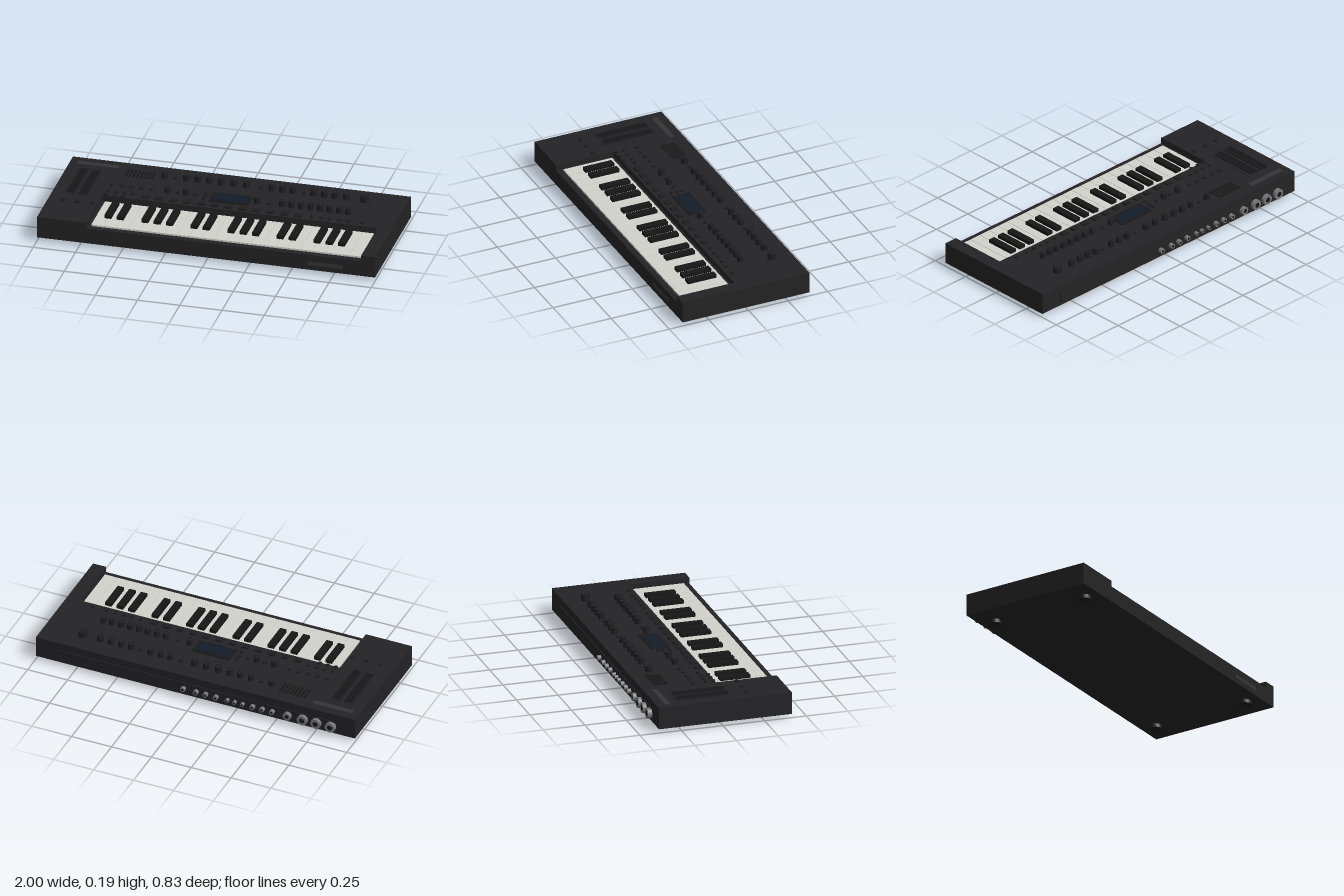
import * as THREE from 'three';

const mat = (color) => new THREE.MeshStandardMaterial({ color, roughness: 0.7 });
const M = {
  body: mat(0x232325), frame: mat(0x1a1a1b), control: mat(0x1e1e20), trim: mat(0x343436),
  screen: mat(0x131c28), white: mat(0xd2d2cc), black: mat(0x161616), metal: mat(0x77777a),
};
const TOP = 0.153, BED = 0.117;

export function createModel() {
  const model = new THREE.Group();
  model.name = 'keyboardSynthesizer';

  const group = (name) => {
    const g = new THREE.Group();
    g.name = name;
    model.add(g);
    return g;
  };
  const add = (parent, name, geo, material, x, y, z) => {
    const m = new THREE.Mesh(geo, material);
    m.name = name;
    m.position.set(x, y, z);
    parent.add(m);
    return m;
  };
  // Box given by its extents on each axis
  const box = (parent, name, material, [x0, x1], [y0, y1], [z0, z1]) =>
    add(parent, name, new THREE.BoxGeometry(x1 - x0, y1 - y0, z1 - z0), material,
      (x0 + x1) / 2, (y0 + y1) / 2, (z0 + z1) / 2);
  // Upright cylinder standing at y
  const peg = (parent, name, material, x, y, z, r, h, sides = 20) =>
    add(parent, name, new THREE.CylinderGeometry(r * 0.95, r, h, sides), material, x, y + h / 2, z);

  // Case: low base and a raised deck with an open bay for the keys
  const body = group('case');
  box(body, 'base', M.body, [-1, 1], [0.023, BED], [-0.385, 0.415]);
  const plan = new THREE.Shape();
  [[-1, -0.415], [-0.71, -0.415], [-0.71, -0.052], [0.918, -0.052], [0.918, -0.415],
    [1, -0.415], [1, 0.385], [-1, 0.385]]
    .forEach(([x, y], i) => (i ? plan.lineTo(x, y) : plan.moveTo(x, y)));
  const deck = new THREE.ExtrudeGeometry(plan, { depth: TOP - BED, bevelEnabled: false });
  deck.rotateX(-Math.PI / 2);
  add(body, 'deck', deck, M.body, 0, BED, 0);
  box(body, 'frontPlate', M.trim, [0.6, 0.81], [0.052, 0.076], [0.414, 0.4165]);
  box(body, 'cornerPlate', M.trim, [-0.955, -0.71], [TOP, TOP + 0.002], [-0.335, -0.303]);

  // Feet
  const feet = group('feet');
  for (const x of [-0.845, 0.845])
    for (const z of [0.319, -0.291])
      peg(feet, 'foot', M.frame, x, 0, z, 0.041, 0.024, 24);

  // Keys: 22 white and 15 black
  const keys = group('keys');
  const x0 = -0.69, step = 1.6 / 22;
  for (let i = 0; i < 22; i++) {
    const x = x0 + i * step;
    box(keys, 'whiteKey', M.white, [x + 0.001, x + step - 0.001], [BED, 0.127], [0.072, 0.378]);
    if (i && ![0, 3].includes(i % 7))
      box(keys, 'blackKey', M.black, [x - 0.02, x + 0.02], [0.125, 0.147], [0.1, 0.28]);
  }

  // Pitch and modulation strips in a raised frame
  const strips = group('touchStrips');
  box(strips, 'stripPanel', M.body, [-0.935, -0.775], [TOP, TOP + 0.002], [-0.26, 0.08]);
  for (const x of [-0.895, -0.82]) {
    for (const s of [-1, 1])
      box(strips, 'stripEdge', M.control, [x + s * 0.024 - 0.003, x + s * 0.024 + 0.003],
        [TOP, TOP + 0.009], [-0.245, 0.065]);
    box(strips, 'strip', M.black, [x - 0.021, x + 0.021], [TOP, TOP + 0.005], [-0.245, 0.065]);
  }
  for (const x of [-0.91, -0.825, -0.74]) peg(strips, 'button', M.control, x, TOP, 0.17, 0.013, 0.01);

  // Vent grille
  const vent = group('vent');
  for (let i = 0; i < 8; i++) {
    const x = -0.645 + i * 0.022;
    box(vent, 'slot', M.black, [x - 0.006, x + 0.006], [TOP, TOP + 0.002], [-0.305, -0.215]);
  }

  // Display
  const display = group('display');
  box(display, 'displayFrame', M.frame, [-0.105, 0.13], [TOP, TOP + 0.006], [-0.143, -0.033]);
  box(display, 'displayGlass', M.screen, [-0.088, 0.112], [TOP, TOP + 0.008], [-0.128, -0.048]);

  // Knobs in two rows, with small buttons between them
  const controls = group('controls');
  const knob = (x, z, r) => {
    peg(controls, 'knob', M.control, x, TOP, z, r, 0.035);
    box(controls, 'knobMark', M.trim, [x - 0.0015, x + 0.0015],
      [TOP + 0.034, TOP + 0.036], [z - r * 0.85, z - r * 0.25]);
  };
  const button = (x, z, r = 0.011) => peg(controls, 'button', M.control, x, TOP, z, r, 0.01, 16);
  [-0.425, -0.295, -0.227, -0.16, -0.09, -0.015, 0.06, 0.21, 0.272, 0.335, 0.457, 0.52, 0.583, 0.65]
    .forEach((x) => knob(x, -0.262, 0.02));
  knob(0.76, -0.26, 0.026);
  [-0.36, 0.145, 0.4].forEach((x) => button(x, -0.262));
  [-0.36, -0.25, 0.17, 0.317, 0.375, 0.432, 0.487, 0.543, 0.6, 0.655, 0.71]
    .forEach((x) => knob(x, -0.085, 0.019));
  [-0.69, -0.632, -0.575, -0.515, -0.455, -0.3, -0.195, 0.24].forEach((x) => button(x, -0.085, 0.012));
  [-0.115, -0.085, -0.045].forEach((z) => button(-0.138, z));
  for (let i = 0; i < 4; i++) {
    button(-0.69 + i * 0.05, -0.003);
    if (i < 3) button(-0.69 + i * 0.05, 0.041);
  }
  [0.52, 0.577, 0.625, 0.68, 0.737, 0.82].forEach((x) => button(x, 0.017));

  // Row of twelve step buttons
  for (let i = 0; i < 12; i++) {
    const x = -0.465 + i * 0.0823;
    box(controls, 'stepButton', M.control, [x - 0.02, x + 0.02], [TOP, TOP + 0.01], [0, 0.034]);
  }

  // Rear panel and sockets
  const rear = group('rearPanel');
  box(rear, 'rearPlate', M.body, [-0.87, 0.86], [0.04, 0.105], [-0.391, -0.38]);
  const socket = (x, r) => {
    const ring = new THREE.CylinderGeometry(r, r, 0.025, 20).rotateX(Math.PI / 2);
    add(rear, 'socket', ring, M.metal, x, 0.071, -0.4);
    const hole = new THREE.CylinderGeometry(r * 0.5, r * 0.5, 0.002, 16).rotateX(Math.PI / 2);
    add(rear, 'socketHole', hole, M.black, x, 0.071, -0.4125);
  };
  [-0.853, -0.763, -0.678].forEach((x) => socket(x, 0.031));
  socket(-0.583, 0.024);
  [-0.487, -0.425, -0.365, -0.135, -0.07, -0.01, 0.07].forEach((x) => socket(x, 0.015));
  [-0.302, -0.253, -0.207].forEach((x) => socket(x, 0.011));

  return model;
}
